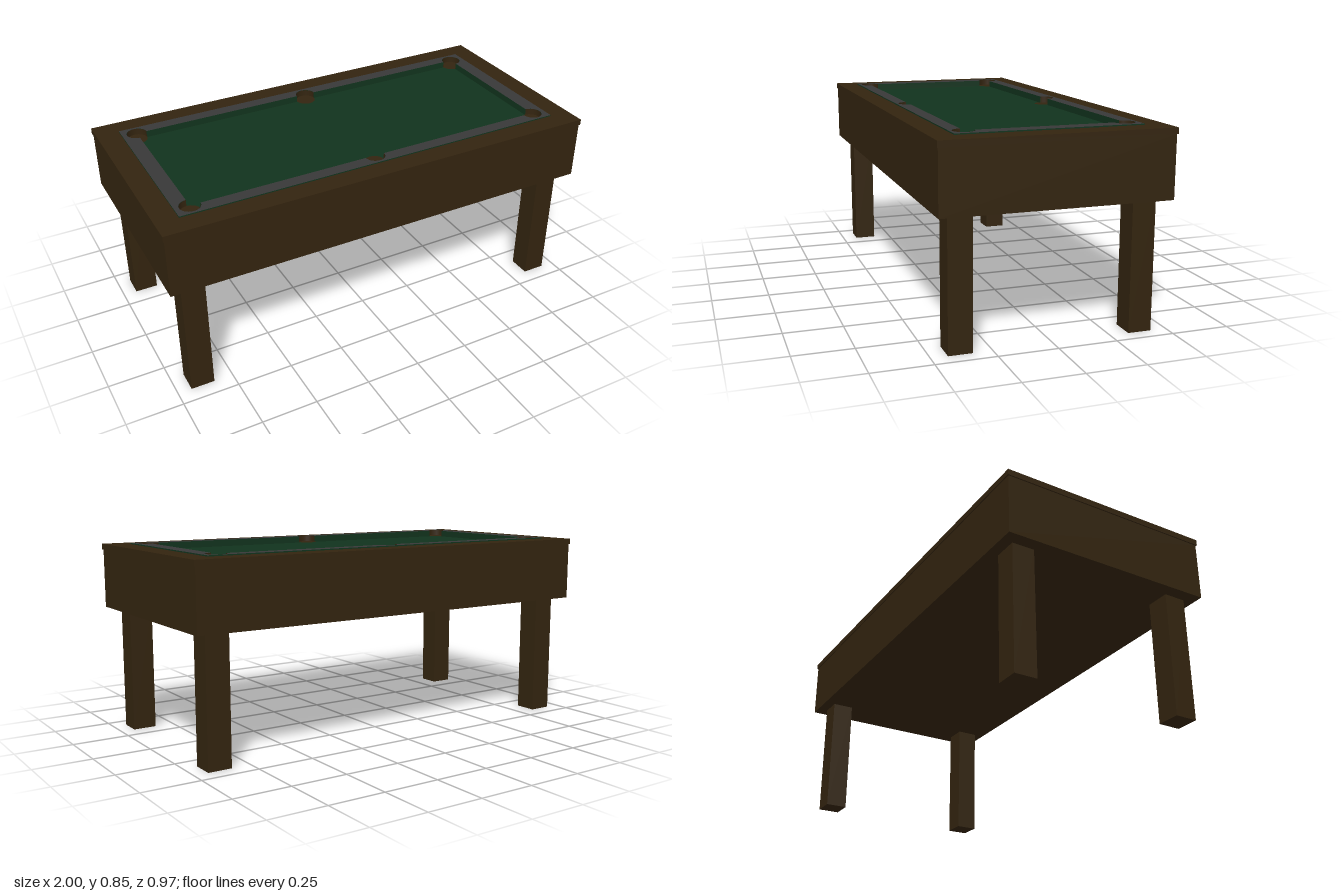
import * as THREE from 'three';

const wood = new THREE.MeshStandardMaterial({ color: 0x33240f });
const pocketWood = new THREE.MeshStandardMaterial({ color: 0x33240f, side: THREE.DoubleSide });
const cloth = new THREE.MeshStandardMaterial({ color: 0x11331d });
const cushionTop = new THREE.MeshStandardMaterial({ color: 0x383838 });

const PLAY_X = 0.835, PLAY_Z = 0.334, POCKET_R = 0.045;
const BED_Y = 0.817, RAIL_Y = 0.843, CUSHION_Y = 0.848;

// Each pocket: centre in the shape plane, start angle and sweep of its cut-out
const P = Math.PI;
const pockets = [
  [0, -PLAY_Z, P, P],
  [PLAY_X, -PLAY_Z, P, 1.5 * P],
  [PLAY_X, PLAY_Z, 1.5 * P, 1.5 * P],
  [0, PLAY_Z, 0, P],
  [-PLAY_X, PLAY_Z, 0, 1.5 * P],
  [-PLAY_X, -PLAY_Z, 0.5 * P, 1.5 * P],
];

function rectangle(PathType, x, z) {
  const path = new PathType();
  path.moveTo(-x, -z).lineTo(x, -z).lineTo(x, z).lineTo(-x, z).closePath();
  return path;
}

// Flat frame lying on y = bottom
function frame(name, x, z, hole, bottom, top, material) {
  const shape = rectangle(THREE.Shape, x, z);
  shape.holes.push(hole);
  const geometry = new THREE.ExtrudeGeometry(shape, {
    depth: top - bottom, bevelEnabled: false, curveSegments: 8,
  });
  geometry.rotateX(-P / 2).translate(0, bottom, 0);
  const mesh = new THREE.Mesh(geometry, material);
  mesh.name = name;
  return mesh;
}

function box(name, x0, x1, y0, y1, z0, z1, material) {
  const mesh = new THREE.Mesh(new THREE.BoxGeometry(x1 - x0, y1 - y0, z1 - z0), material);
  mesh.position.set((x0 + x1) / 2, (y0 + y1) / 2, (z0 + z1) / 2);
  mesh.name = name;
  return mesh;
}

export function createModel() {
  const table = new THREE.Group();
  table.name = 'poolTable';

  // Body, playing surface and overhanging top rail
  table.add(box('body', -0.995, 0.995, 0.555, BED_Y, -0.48, 0.48, wood));
  table.add(box('cloth', -0.9, 0.9, BED_Y - 0.01, BED_Y + 0.001, -0.39, 0.39, cloth));
  table.add(frame('topRail', 1, 0.484, rectangle(THREE.Path, 0.9, 0.39), BED_Y, RAIL_Y, wood));

  // Cushions with round cut-outs for the pockets
  const opening = new THREE.Path();
  opening.moveTo(-PLAY_X + POCKET_R, -PLAY_Z);
  for (const [x, z, start, sweep] of pockets) {
    opening.absarc(x, z, POCKET_R, start, start + sweep, false);
  }
  table.add(frame('cushions', 0.9, 0.39, opening, BED_Y, CUSHION_Y, [cushionTop, cloth]));

  // Pockets: round floor and curved wall set into the cushions
  for (const [x, z, start, sweep] of pockets) {
    const pocket = new THREE.Group();
    pocket.name = 'pocket';
    const floor = new THREE.Mesh(new THREE.CircleGeometry(POCKET_R, 16), pocketWood);
    floor.rotation.x = -P / 2;
    floor.position.y = BED_Y + 0.003;
    floor.name = 'pocketFloor';
    const height = CUSHION_Y - BED_Y;
    const wall = new THREE.Mesh(
      new THREE.CylinderGeometry(POCKET_R - 0.001, POCKET_R - 0.001, height, 12, 1, true, start + P / 2, sweep),
      pocketWood);
    wall.position.y = BED_Y + height / 2;
    wall.name = 'pocketWall';
    pocket.add(floor, wall);
    pocket.position.set(x, 0, -z);
    table.add(pocket);
  }

  // Square legs
  for (const sx of [-1, 1]) {
    for (const sz of [-1, 1]) {
      const leg = box('leg', -0.052, 0.052, 0, 0.56, -0.05, 0.05, wood);
      leg.position.x = sx * 0.887;
      leg.position.z = sz * 0.381;
      table.add(leg);
    }
  }
  return table;
}
